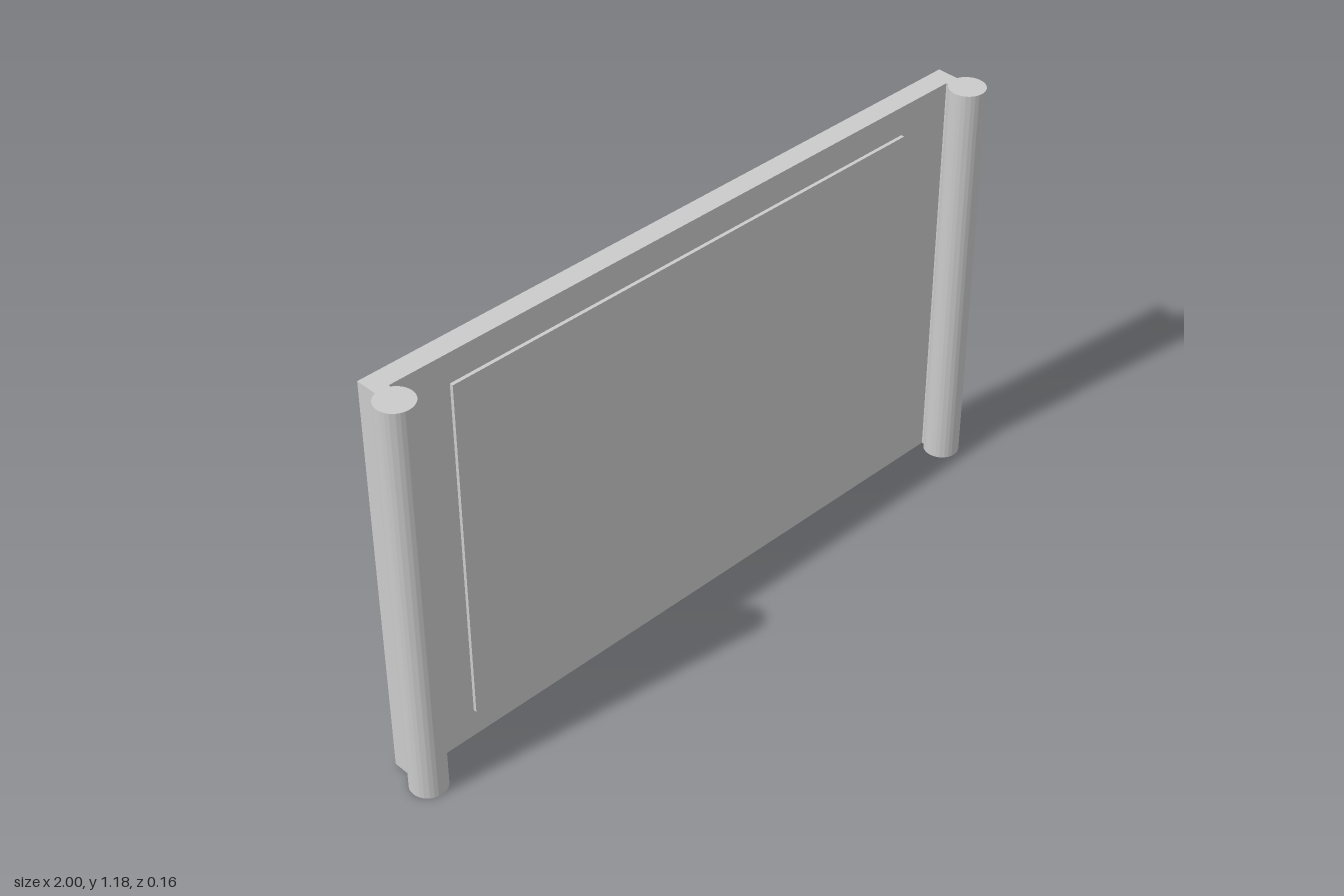
import * as THREE from 'three';
import { toCreasedNormals } from 'three/addons/utils/BufferGeometryUtils.js';

const HEIGHT = 1.183;
const BACK = -0.08, FACE = -0.02; // z of the board's back and front
const SIDE = 0.965, NECK = 0.925; // outer and inner x of the necks joining the posts
const POST = { x: 0.95, z: 0.03, r: 0.05 };

export function createModel() {
  const group = new THREE.Group();
  const material = new THREE.MeshStandardMaterial({ color: 0xcccccc });

  // Plan outline (x, -z): flat board that runs into a round post at each end
  const outer = Math.acos((SIDE - POST.x) / POST.r);
  const inner = Math.acos((NECK - POST.x) / POST.r);
  const plan = new THREE.Shape();
  plan.moveTo(SIDE, -BACK);
  plan.lineTo(-SIDE, -BACK);
  plan.absarc(-POST.x, -POST.z, POST.r, Math.PI - outer, Math.PI - inner, false);
  plan.lineTo(-NECK, -FACE);
  plan.lineTo(NECK, -FACE);
  plan.absarc(POST.x, -POST.z, POST.r, inner, outer, false);
  plan.closePath();

  const boardGeometry = new THREE.ExtrudeGeometry(plan, {
    depth: HEIGHT, bevelEnabled: false, curveSegments: 48,
  });
  boardGeometry.rotateX(-Math.PI / 2);
  const board = new THREE.Mesh(toCreasedNormals(boardGeometry, 0.5), material);
  board.name = 'boardWithRoundPosts';
  group.add(board);

  // Thin raised panel on the front, slightly sunk into the board
  const panel = new THREE.Mesh(new THREE.BoxGeometry(1.514, 1.015, 0.02), material);
  panel.name = 'raisedPanel';
  panel.position.set(0, HEIGHT / 2, -0.02);
  group.add(panel);

  return group;
}
